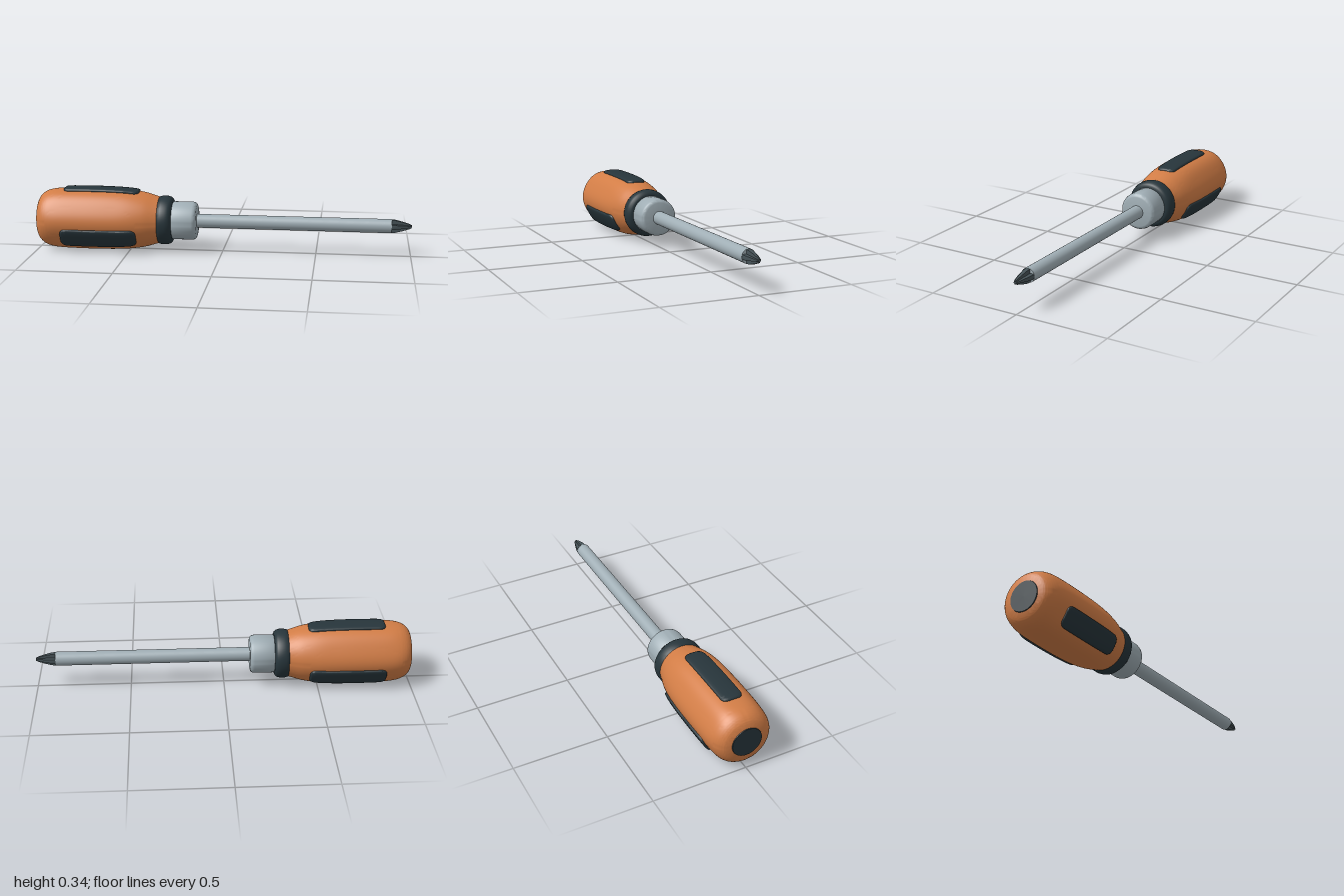
import * as THREE from 'three';
import { mergeVertices, toCreasedNormals } from 'three/addons/utils/BufferGeometryUtils.js';

const mat = (name, color) => {
  const m = new THREE.MeshStandardMaterial({ color });
  m.name = name;
  return m;
};

// handle radius along the axis, as (x, r)
const profile = new THREE.SplineCurve([
  [-0.996, 0.108], [-0.985, 0.126], [-0.96, 0.145], [-0.92, 0.157], [-0.85, 0.163], [-0.72, 0.1652],
  [-0.6, 0.164], [-0.5, 0.159], [-0.42, 0.147], [-0.36, 0.13], [-0.32, 0.118],
].map(([x, r]) => new THREE.Vector2(x, r))).getPoints(60);

function profileRadius(x) {
  for (let i = 1; i < profile.length; i++) {
    const a = profile[i - 1], b = profile[i];
    if (x <= b.x) return THREE.MathUtils.lerp(a.y, b.y, Math.max(0, (x - a.x) / (b.x - a.x)));
  }
  return profile[profile.length - 1].y;
}

// soft six-sided section that turns round towards both ends
function hexFactor(x, angle) {
  const fade = THREE.MathUtils.smoothstep(x, -1, -0.88) * (1 - THREE.MathUtils.smoothstep(x, -0.6, -0.34));
  return 1 + 0.0165 * fade * Math.cos(6 * angle);
}

// surface of revolution about the x axis from (x, r) pairs
function turned(points, segments = 64) {
  const g = new THREE.LatheGeometry(points.map(([x, r]) => new THREE.Vector2(r, x)), segments);
  return g.rotateZ(-Math.PI / 2);
}

function smooth(g) {
  g.deleteAttribute('uv');
  g.deleteAttribute('normal');
  const merged = mergeVertices(g, 1e-5);
  merged.computeVertexNormals();
  return merged;
}

function handleGeometry() {
  const g = turned([[-0.996, 0], ...profile.map(p => [p.x, p.y]), [-0.32, 0]], 96);
  const p = g.attributes.position;
  for (let i = 0; i < p.count; i++) {
    const f = hexFactor(p.getX(i), Math.atan2(p.getY(i), p.getZ(i)));
    p.setY(i, p.getY(i) * f);
    p.setZ(i, p.getZ(i) * f);
  }
  return toCreasedNormals(smooth(g), 0.9);
}

// closed or capped skin over rings of equal point count
function loft(rings, capEnd) {
  const n = rings[0].length, pos = rings.flat(2), idx = [];
  for (let k = 0; k < rings.length - 1; k++) {
    for (let i = 0; i < n; i++) {
      const a = k * n + i, b = k * n + (i + 1) % n;
      idx.push(a, b, a + n, b, b + n, a + n);
    }
  }
  if (capEnd) {
    const last = (rings.length - 1) * n;
    for (let i = 1; i < n - 1; i++) idx.push(last, last + i, last + i + 1);
  }
  const g = new THREE.BufferGeometry();
  g.setAttribute('position', new THREE.Float32BufferAttribute(pos, 3));
  g.setIndex(idx);
  return g;
}

// rounded rectangle wrapped onto the handle, with rolled edges
function padGeometry(center) {
  const hx = 0.205, hz = 0.058, r = 0.036;
  const s = new THREE.Shape();
  s.moveTo(-hx + r, -hz).lineTo(hx - r, -hz).quadraticCurveTo(hx, -hz, hx, -hz + r);
  s.lineTo(hx, hz - r).quadraticCurveTo(hx, hz, hx - r, hz).lineTo(-hx + r, hz);
  s.quadraticCurveTo(-hx, hz, -hx, hz - r).lineTo(-hx, -hz + r).quadraticCurveTo(-hx, -hz, -hx + r, -hz);
  const outline = s.getSpacedPoints(96).slice(0, 96);
  // each ring: scale of the outline, height above the handle
  const rings = [[1, -0.012], [1, 0.003], [0.97, 0.007], [0.91, 0.0095], [0.82, 0.0105], [0.6, 0.0108], [0.3, 0.0108], [0, 0.0108]]
    .map(([k, h]) => outline.map(p => {
      const x = -0.655 + p.x * (1 - (1 - k) * 0.3);
      const angle = center - p.y * k / 0.17;
      const rad = profileRadius(x) * hexFactor(x, angle) + h;
      return [x, rad * Math.sin(angle), rad * Math.cos(angle)];
    }));
  // keep the outline running so that the skin faces outwards
  const g = loft(rings);
  const a = new THREE.Vector3().fromBufferAttribute(g.attributes.position, 96 * 4);
  const b = new THREE.Vector3().fromBufferAttribute(g.attributes.position, 96 * 4 + 1);
  const c = new THREE.Vector3().fromBufferAttribute(g.attributes.position, 96 * 5);
  const out = new THREE.Vector3(0, Math.sin(center), Math.cos(center));
  if (b.sub(a).cross(c.sub(a)).dot(out) < 0) g.index.array.reverse();
  g.computeVertexNormals();
  return toCreasedNormals(g, 0.9);
}

// cross-shaped driving tip: four arms with V grooves between them
function tipGeometry() {
  const rings = [[0.89, 0.0368, 0.019], [0.915, 0.0345, 0.017], [0.95, 0.026, 0.0135], [0.985, 0.015, 0.0085], [1, 0.008, 0.005]]
    .map(([x, r, valley]) => {
      const ring = [];
      for (let q = 0; q < 4; q++) {
        for (const [deg, rad] of [[-19, r], [0, r * 1.01], [19, r], [45, valley]]) {
          const t = q * Math.PI / 2 + THREE.MathUtils.degToRad(deg);
          ring.push([x, rad * Math.cos(t), rad * Math.sin(t)]);
        }
      }
      return ring;
    });
  return toCreasedNormals(loft(rings, true), 0.5);
}

export function createModel() {
  const orange = mat('orange handle', 0xd27d46);
  const rubber = mat('dark rubber', 0x27353b);
  const steel = mat('pale steel', 0xa0aeb5);
  const darkSteel = mat('dark steel', 0x465257);

  const model = new THREE.Group();
  model.name = 'screwdriver';
  model.position.y = 0.163;
  const add = (name, geometry, material) => {
    const mesh = new THREE.Mesh(geometry, material);
    mesh.name = name;
    model.add(mesh);
    return mesh;
  };

  add('handle', handleGeometry(), orange);

  // three grip pads, one on top and two low at the sides
  [90, 210, 330].forEach((deg, i) => add(`gripPad${i + 1}`, padGeometry(THREE.MathUtils.degToRad(deg)), rubber));

  // disc on the butt of the handle
  add('endCap', toCreasedNormals(turned([[-1, 0], [-1, 0.08], [-0.994, 0.082]]), 0.6), rubber);

  add('collar', toCreasedNormals(turned([
    [-0.348, 0.1], [-0.347, 0.12], [-0.34, 0.127], [-0.325, 0.131], [-0.3, 0.131],
    [-0.283, 0.127], [-0.273, 0.119], [-0.268, 0.108], [-0.268, 0.08],
  ]), 0.7), rubber);

  add('ferrule', toCreasedNormals(turned([
    [-0.275, 0.08], [-0.272, 0.096], [-0.264, 0.102], [-0.16, 0.102],
    [-0.148, 0.099], [-0.141, 0.092], [-0.138, 0.083], [-0.138, 0],
  ]), 0.7), steel);

  const shaft = new THREE.CylinderGeometry(0.037, 0.037, 1.05, 40).rotateZ(-Math.PI / 2).translate(0.37, 0, 0);
  add('shaft', shaft, steel);
  add('tip', tipGeometry(), darkSteel);

  const group = new THREE.Group();
  group.add(model);
  return group;
}
